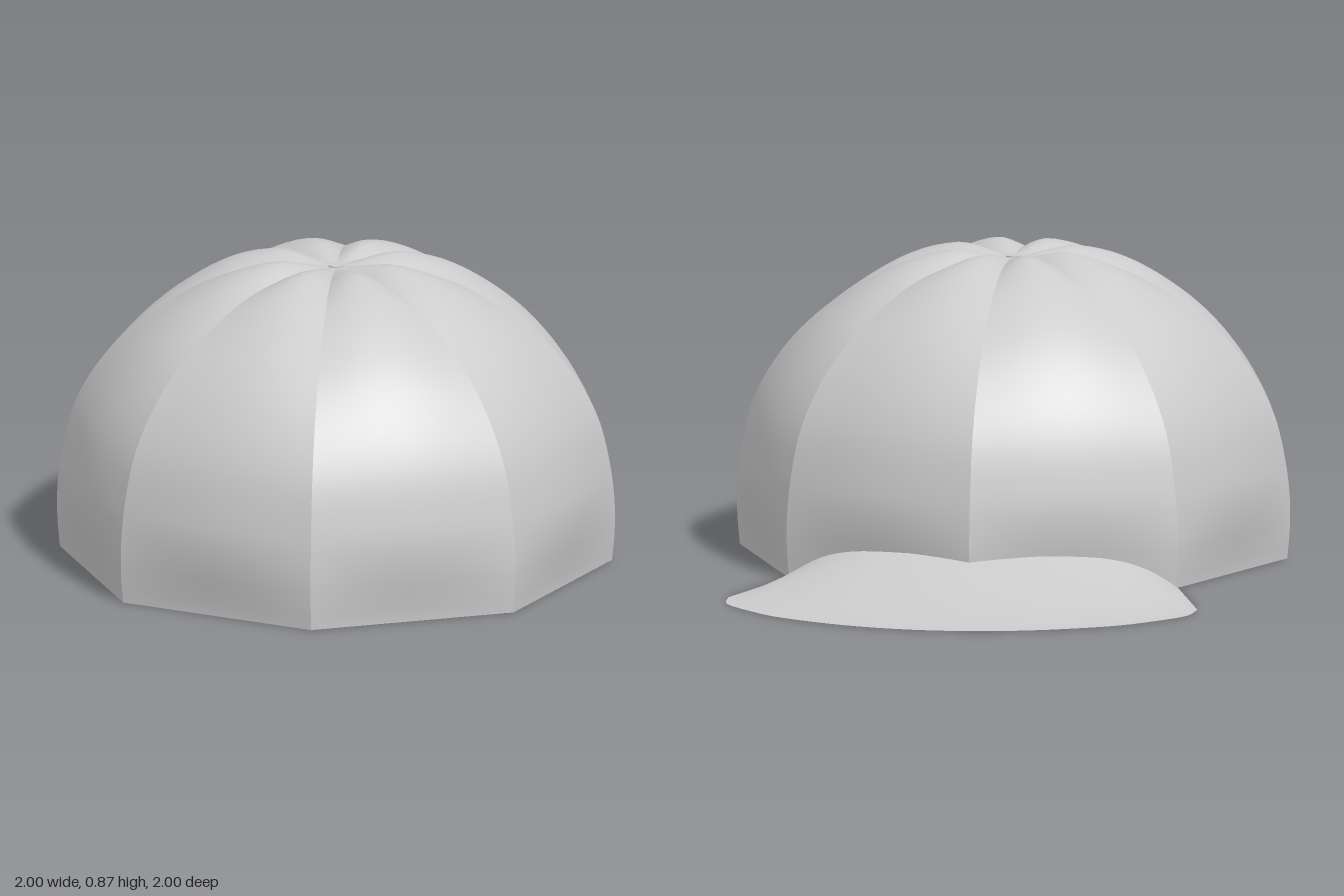
import * as THREE from 'three';
import { ParametricGeometry } from 'three/addons/geometries/ParametricGeometry.js';

const PANELS = 8;
const CENTRE = [-0.205, 0, 0.185];

const spline = (points) =>
  new THREE.CatmullRomCurve3(points.map(([x, y]) => new THREE.Vector3(x, y, 0)), false, 'centripetal');

// Seam from the rim up to the crown: radius, height
const seam = spline([
  [0.785, 0], [0.792, 0.08], [0.793, 0.16], [0.78, 0.28], [0.745, 0.42], [0.68, 0.54],
  [0.58, 0.655], [0.45, 0.75], [0.33, 0.81], [0.2, 0.842], [0.1, 0.849], [0.02, 0.846],
]);

// Outer edge of the brim: forward, sideways
const halfEdge = [
  [0.905, 0.672], [1.015, 0.66], [1.128, 0.576], [1.206, 0.4985],
  [1.273, 0.389], [1.326, 0.272], [1.361, 0.145],
];
const brimEdge = spline([
  ...halfEdge, [1.375, 0], ...halfEdge.map(([f, s]) => [f, -s]).reverse(),
]);

// One gore: straight at the rim, puffed out between its two seams above it
function panelPoint(u, v, target) {
  const p = seam.getPointAt(v);
  const t = seam.getTangentAt(v);
  const step = (Math.PI * 2) / PANELS;
  const swell = THREE.MathUtils.smoothstep(v, 0, 0.2) * (1 - THREE.MathUtils.smoothstep(v, 0.85, 1));
  const puff = 0.03 * swell * Math.sin(Math.PI * u);
  const x = THREE.MathUtils.lerp(1, Math.cos(step), u) * p.x;
  const z = -Math.sin(step) * u * p.x;
  const a = step * u;
  target.set(
    x + Math.cos(a) * t.y * puff,
    p.y - t.x * puff,
    z - Math.sin(a) * t.y * puff,
  );
}

// Brim: from an arched inner edge on the crown to a flat outer edge
function brimPoint(u, v, target) {
  const w = 1 - 2 * u;
  const a = (w * Math.PI) / 4;
  const r = 0.75 + 0.05 * Math.abs(w) ** 6;
  const outer = brimEdge.getPoint(u);
  const f = THREE.MathUtils.lerp(r * Math.cos(a), outer.x, v);
  const s = THREE.MathUtils.lerp(r * Math.sin(a), outer.y, v);
  const arch = 0.11 * (1 - Math.abs(w) ** 5) * (1 - v) ** 1.6;
  target.set(f, arch, -s);
}

export function createModel() {
  const cap = new THREE.Group();
  cap.name = 'cap';
  const material = new THREE.MeshStandardMaterial({ color: 0xcccccc, side: THREE.DoubleSide });

  const add = (parent, name, geometry) => {
    const mesh = new THREE.Mesh(geometry, material);
    mesh.name = name;
    parent.add(mesh);
    return mesh;
  };

  // Crown of eight gores
  const crown = new THREE.Group();
  crown.name = 'crown';
  const panel = new ParametricGeometry(panelPoint, 10, 36);
  for (let i = 0; i < PANELS; i++) {
    add(crown, 'crownPanel', panel).rotation.y = (i * Math.PI * 2) / PANELS;
  }
  cap.add(crown);

  // Small button closing the crown
  add(cap, 'topButton', new THREE.CylinderGeometry(0.022, 0.022, 0.008, 16)).position.y = 0.846;

  // Brim, turned to the back left
  add(cap, 'brim', new ParametricGeometry(brimPoint, 42, 10)).rotation.y = Math.PI / 4;

  cap.position.set(...CENTRE);
  const model = new THREE.Group();
  model.add(cap);
  return model;
}
